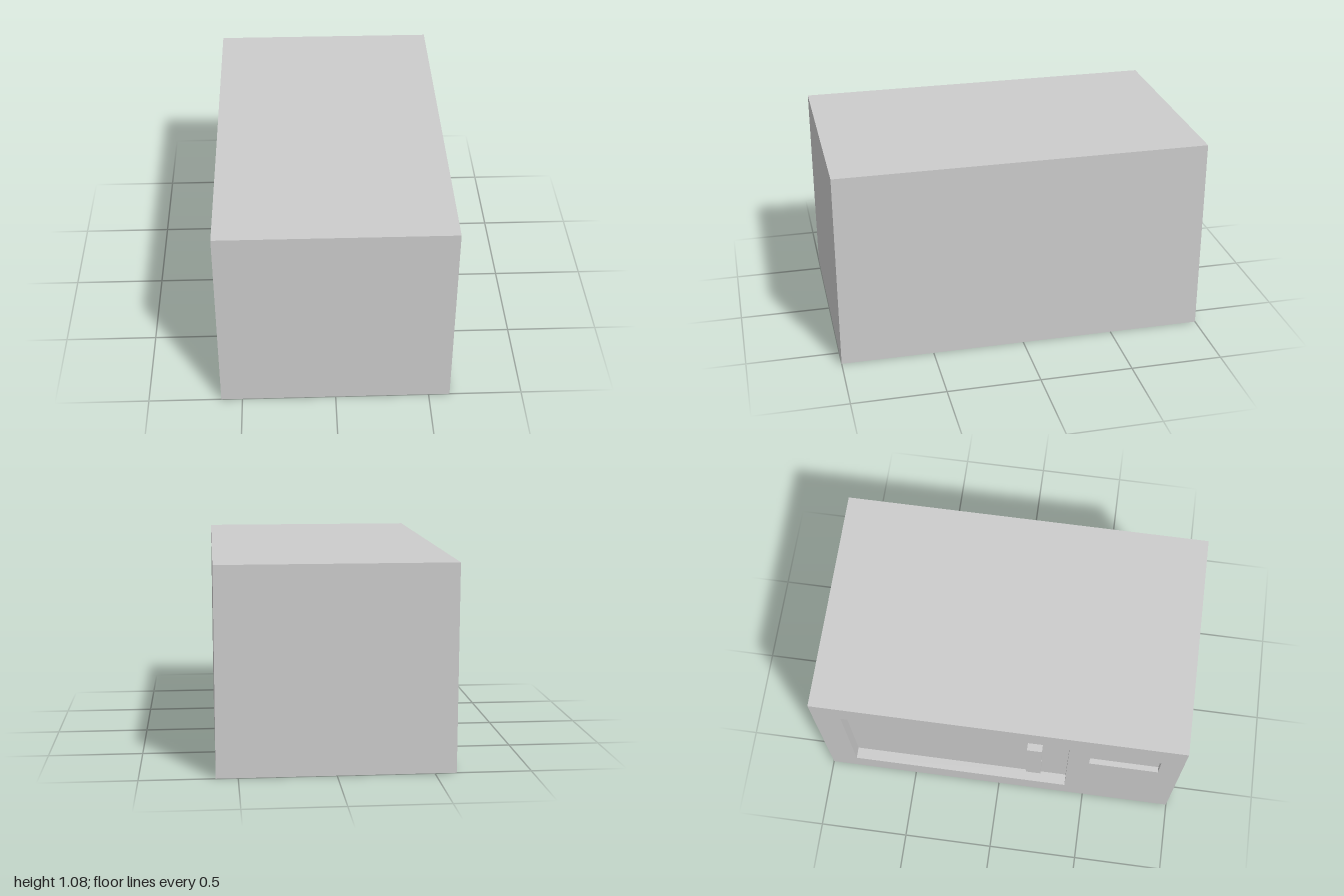
import * as THREE from 'three';

const W = 1.226, H = 1.08, D = 2;
const FACE = -W / 2; // x of the face that carries the door

// Recesses cut into the face: z range, y range, depth
const recesses = [
  { name: 'doorRecess', z0: -0.845, z1: 0.387, y0: 0.15, y1: 0.925, depth: 0.063 },
  { name: 'displayRecess', z0: 0.503, z1: 0.88, y0: 0.682, y1: 0.862, depth: 0.03 },
];

// Box without its -x side; inward turns the faces to the inside
function openBox(w, h, d, inward = false) {
  const geometry = new THREE.BoxGeometry(w, h, d);
  const index = Array.from(geometry.index.array);
  index.splice(6, 6);
  geometry.setIndex(inward ? index.reverse() : index);
  geometry.clearGroups();
  geometry.computeVertexNormals();
  return geometry;
}

function rectangle(path, z0, y0, z1, y1) {
  path.moveTo(z0, y0);
  path.lineTo(z1, y0);
  path.lineTo(z1, y1);
  path.lineTo(z0, y1);
  path.closePath();
  return path;
}

export function createModel() {
  const group = new THREE.Group();
  const material = new THREE.MeshStandardMaterial({ color: 0xcccccc });
  const add = (name, geometry) => {
    const mesh = new THREE.Mesh(geometry, material);
    mesh.name = name;
    group.add(mesh);
    return mesh;
  };

  // Casing: five plain sides
  add('casing', openBox(W, H, D)).position.y = H / 2;

  // Face with openings for the door and the display
  const face = rectangle(new THREE.Shape(), -D / 2, 0, D / 2, H);
  for (const r of recesses) {
    face.holes.push(rectangle(new THREE.Path(), r.z0, r.y0, r.z1, r.y1));
  }
  const faceGeometry = new THREE.ShapeGeometry(face);
  faceGeometry.rotateY(-Math.PI / 2);
  add('doorSideFace', faceGeometry).position.x = FACE;

  // Walls and floor of each recess
  for (const r of recesses) {
    add(r.name, openBox(r.depth, r.y1 - r.y0, r.z1 - r.z0, true))
      .position.set(FACE + r.depth / 2, (r.y0 + r.y1) / 2, (r.z0 + r.z1) / 2);
  }

  // Door handle: upright bar on two feet
  const out = 0.061, bar = 0.029, foot = 0.072, height = 0.444;
  const profile = new THREE.Shape([
    [0, 0], [0, foot], [bar - out, foot], [bar - out, height - foot],
    [0, height - foot], [0, height], [-out, height], [-out, 0],
  ].map(([x, y]) => new THREE.Vector2(x, y)));
  const handle = new THREE.ExtrudeGeometry(profile, { depth: 0.082, bevelEnabled: false });
  add('doorHandle', handle).position.set(FACE + recesses[0].depth, 0.332, 0.16);

  return group;
}
